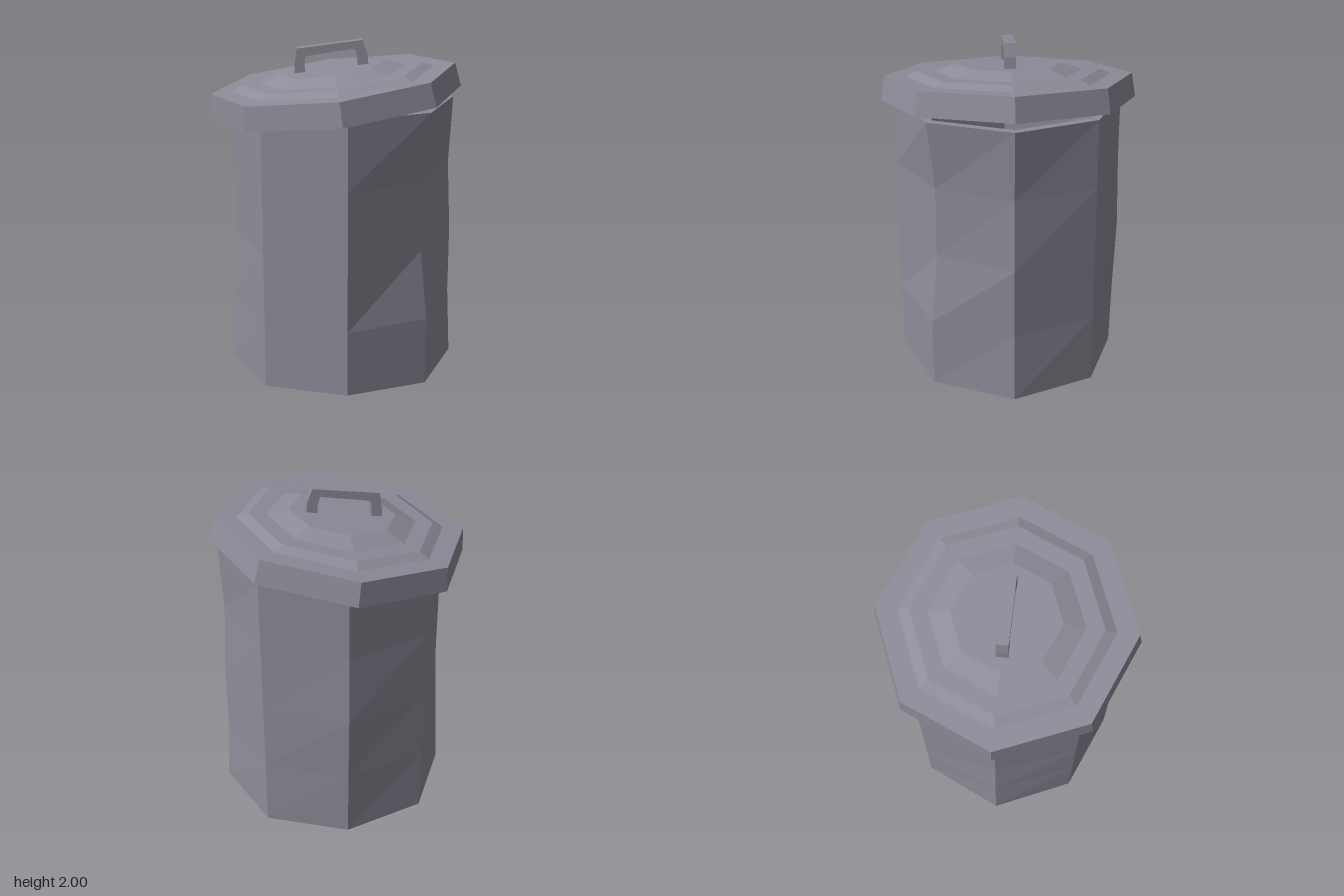
import * as THREE from 'three';

const SIDES = 8;

// One octagonal ring with corners on the axes; corner 0 faces +z, corner 2 faces +x
function ring(radius, y, cx = 0) {
  return Array.from({ length: SIDES }, (_, i) => {
    const a = (i / SIDES) * Math.PI * 2;
    return new THREE.Vector3(cx + Math.sin(a) * radius, y, Math.cos(a) * radius);
  });
}

// Skin a sequence of rings and close both ends
function loft(rings) {
  const pos = [];
  const tri = (...pts) => pts.forEach((p) => pos.push(p.x, p.y, p.z));
  for (let k = 0; k < rings.length - 1; k++) {
    const a = rings[k], b = rings[k + 1];
    for (let i = 0; i < SIDES; i++) {
      const j = (i + 1) % SIDES;
      tri(a[i], a[j], b[j]);
      tri(a[i], b[j], b[i]);
    }
  }
  const first = rings[0], last = rings[rings.length - 1];
  for (let i = 1; i < SIDES - 1; i++) {
    tri(first[0], first[i + 1], first[i]);
    tri(last[0], last[i], last[i + 1]);
  }
  const geo = new THREE.BufferGeometry();
  geo.setAttribute('position', new THREE.Float32BufferAttribute(pos, 3));
  geo.computeVertexNormals();
  return geo;
}

export function createModel() {
  const metal = new THREE.MeshStandardMaterial({ color: 0x8f8b99 });
  metal.flatShading = true;
  const group = new THREE.Group();
  const add = (name, geo) => {
    const mesh = new THREE.Mesh(geo, metal);
    mesh.name = name;
    group.add(mesh);
    return mesh;
  };

  // Can body: slightly battered, with a dent down the front corner on the +x side
  // Each row: height, x of +x corner, x of -x corner, z of back corner, dented corner offset
  const rows = [
    [0.008, 0.72, -0.66, -0.645, 0.475],
    [0.42, 0.7, -0.64, -0.655, 0.475],
    [0.83, 0.7, -0.62, -0.67, 0.438],
    [1.25, 0.68, -0.62, -0.66, 0.438],
    [1.655, 0.7, -0.63, -0.66, 0.475],
  ];
  const outer = rows.map(([y, right, left, back, dent]) => {
    const r = ring(0.672, y, 0.03);
    r[1].set(0.03 + dent, y, dent);
    r[2].x = right;
    r[4].z = back;
    r[6].x = left;
    return r;
  });
  outer[0][0].y = 0.03;
  outer[0][4].y = 0;
  const inner = [ring(0.62, 1.655, 0.03), ring(0.59, 0.06, 0.03)];
  add('canBody', loft([...outer, ...inner]));

  // Lid: hollow underside, sloped rim and two raised steps, sitting askew
  const lidProfile = [
    [0.69, 0.12], [0.715, 0], [0.752, 0], [0.73, 0.14],
    [0.605, 0.14], [0.54, 0.167], [0.435, 0.167], [0.31, 0.205],
  ];
  const lid = add('lid', loft(lidProfile.map(([r, y]) => ring(r, y))));
  lid.position.set(-0.003, 1.63, 0);
  lid.rotation.z = THREE.MathUtils.degToRad(6.9);

  // Handle: a bent bar arched over the lid
  const outline = [
    [-0.25, 1.8], [-0.248, 1.87], [-0.235, 1.952], [0.15, 2], [0.178, 1.925], [0.187, 1.85],
    [0.125, 1.845], [0.12, 1.9], [0.107, 1.95], [-0.185, 1.907], [-0.19, 1.86], [-0.188, 1.8],
  ];
  const bar = new THREE.Shape(outline.map(([x, y]) => new THREE.Vector2(x, y)));
  const barGeo = new THREE.ExtrudeGeometry(bar, { depth: 0.068, bevelEnabled: false });
  barGeo.translate(0, 0, -0.034);
  add('handle', barGeo);

  return group;
}
